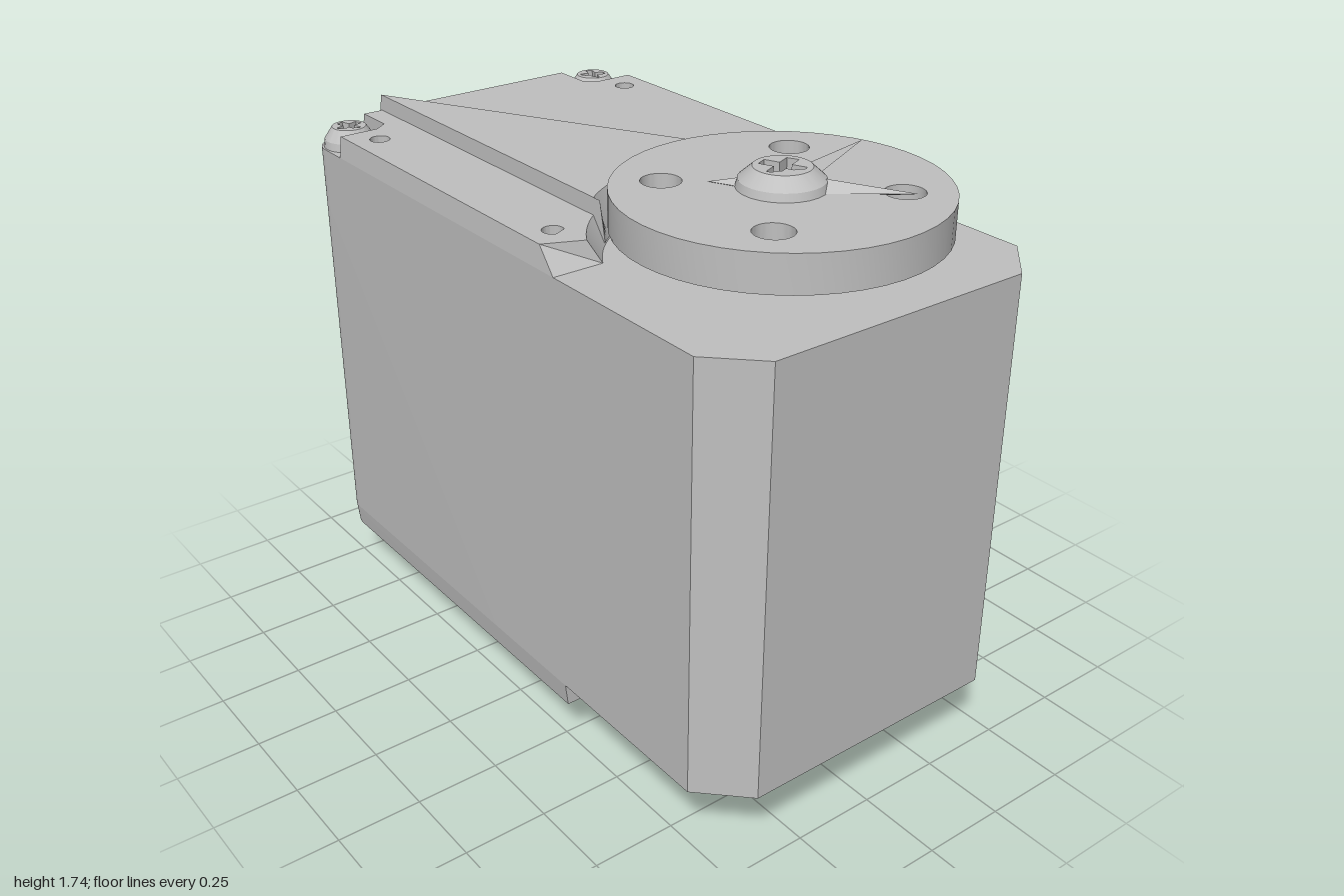
import * as THREE from 'three';
import { toCreasedNormals } from 'three/addons/utils/BufferGeometryUtils.js';

const grey = new THREE.MeshStandardMaterial({ color: 0xc0c0c0 });
grey.name = 'grey plastic';

const HORN_X = 0.547;

function add(parent, name, geometry) {
  const mesh = new THREE.Mesh(geometry, grey);
  mesh.name = name;
  parent.add(mesh);
  return mesh;
}

// Extrude a plan outline (x, z) between two heights; rule may move vertices
function slab(shape, y0, y1, rule) {
  const g = new THREE.ExtrudeGeometry(shape, { depth: y1 - y0, bevelEnabled: false, curveSegments: 24 });
  g.rotateX(Math.PI / 2).translate(0, y1, 0);
  if (rule) {
    const p = g.attributes.position;
    const v = new THREE.Vector3();
    for (let i = 0; i < p.count; i++) {
      v.fromBufferAttribute(p, i);
      rule(v);
      p.setXYZ(i, v.x, v.y, v.z);
    }
  }
  return toCreasedNormals(g, 0.5);
}

function polygon(points) {
  return new THREE.Shape(points.map(([x, z]) => new THREE.Vector2(x, z)));
}

function disc(x, z, r) {
  const s = new THREE.Shape();
  s.absarc(x, z, r, 0, Math.PI * 2, false);
  return s;
}

function hole(shape, x, z, r) {
  const h = new THREE.Path();
  h.absarc(x, z, r, 0, Math.PI * 2, true);
  shape.holes.push(h);
}

// Screw head with a cross-shaped recess
function screw(parent, name, x, y, z, r, h, turn) {
  const group = new THREE.Group();
  group.name = name;
  group.position.set(x, y, z);
  group.rotation.y = turn;
  add(group, 'screwBase', new THREE.CylinderGeometry(r * 0.95, r, h * 0.4, 24).translate(0, h * 0.2, 0));
  const a = r * 0.14, b = r * 0.5;
  const cap = disc(0, 0, r * 0.95);
  cap.holes.push(new THREE.Path([
    [a, a], [a, b], [-a, b], [-a, a], [-b, a], [-b, -a],
    [-a, -a], [-a, -b], [a, -b], [a, -a], [b, -a], [b, a],
  ].map(([u, v]) => new THREE.Vector2(u, v))));
  add(group, 'screwHead', slab(cap, h * 0.4, h, (v) => {
    if (v.y > h * 0.9 && Math.hypot(v.x, v.z) > r * 0.9) { v.x *= 0.68; v.z *= 0.68; }
  }));
  parent.add(group);
}

export function createModel() {
  const model = new THREE.Group();
  model.name = 'servoMotor';

  // Main case: rounded rear corners, chamfered output end
  const R = 0.08;
  const body = new THREE.Shape();
  body.moveTo(0.87, -0.54);
  body.lineTo(1, -0.41);
  body.lineTo(1, 0.41);
  body.lineTo(0.87, 0.54);
  body.lineTo(-1 + R, 0.54);
  body.absarc(-1 + R, 0.54 - R, R, Math.PI / 2, Math.PI, false);
  body.lineTo(-1, -0.54 + R);
  body.absarc(-1 + R, -0.54 + R, R, Math.PI, Math.PI * 1.5, false);
  add(model, 'case', slab(body, 0.225, 1.49));

  // Top cover, cut by a sloped arc around the output horn
  const slope = (v) => {
    if (v.y < 1.52) return;
    const d = Math.hypot(v.x - 0.54, v.z);
    if (v.x > 0.3 && Math.abs(v.z) > 0.5) v.x -= 0.07;
    else if (d < 0.46) {
      v.x = 0.54 + (v.x - 0.54) * 0.49 / d;
      v.z *= 0.49 / d;
    } else if (v.x < -0.98) v.x += 0.02;
    if (Math.abs(v.z) > 0.53) v.z *= 0.985;
  };
  const a = Math.acos(0.23 / 0.45);
  const cover = new THREE.Shape();
  cover.moveTo(-0.995, -0.37);
  cover.lineTo(-0.85, -0.37);
  cover.lineTo(-0.82, -0.41);
  cover.lineTo(-0.82, -0.54);
  cover.lineTo(0.31, -0.54);
  cover.absarc(0.54, 0, 0.45, Math.PI + a, Math.PI - a, true);
  cover.lineTo(0.31, 0.54);
  cover.lineTo(-0.82, 0.54);
  cover.lineTo(-0.82, 0.41);
  cover.lineTo(-0.85, 0.37);
  cover.lineTo(-0.995, 0.37);
  for (const s of [-1, 1]) {
    hole(cover, -0.73, s * 0.45, 0.03);
    hole(cover, 0.18, s * 0.45, 0.03);
  }
  add(model, 'topCover', slab(cover, 1.49, 1.555, slope));

  // Raised centre panel of the top cover
  const b = Math.asin(0.31 / 0.45);
  const panel = new THREE.Shape();
  panel.moveTo(-0.998, -0.31);
  panel.absarc(0.54, 0, 0.45, Math.PI + b, Math.PI - b, true);
  panel.lineTo(-0.998, 0.31);
  add(model, 'topPanel', slab(panel, 1.495, 1.603, (v) => {
    slope(v);
    if (v.y > 1.52) v.z = THREE.MathUtils.clamp(v.z, -0.305, 0.305);
  }));

  // Corner screws
  for (const s of [-1, 1]) screw(model, 'cornerScrew', -0.915, 1.49, s * 0.455, 0.08, 0.06, s * 0.3);

  // Bottom cover with two feet either side of a recess
  const base = new THREE.Shape();
  base.moveTo(-0.13, -0.29);
  base.lineTo(0.12, -0.29);
  base.lineTo(0.2, -0.34);
  base.lineTo(0.31, -0.41);
  base.lineTo(0.31, -0.54);
  base.lineTo(-0.92, -0.54);
  base.absarc(-0.92, -0.46, 0.08, -Math.PI / 2, -Math.PI, true);
  base.absarc(-0.92, 0.46, 0.08, Math.PI, Math.PI / 2, true);
  base.lineTo(0.31, 0.54);
  base.lineTo(0.31, 0.41);
  base.lineTo(0.2, 0.34);
  base.lineTo(0.12, 0.29);
  base.lineTo(-0.13, 0.29);
  for (const s of [-1, 1]) {
    hole(base, -0.91, s * 0.45, 0.03);
    hole(base, 0.2, s * 0.45, 0.03);
  }
  add(model, 'bottomCover', slab(base, 0.155, 0.225, (v) => {
    if (v.y > 0.2) return;
    if (v.x < -0.95) v.x += 0.015;
    if (Math.abs(v.z) > 0.5) v.z *= 0.985;
  }));

  // Sloped pad under the bottom cover
  const pad = polygon([[-0.77, 0.08], [-0.33, 0.08], [-0.18, 0.16], [-0.77, 0.16]]);
  add(model, 'bottomPad', new THREE.ExtrudeGeometry(pad, { depth: 0.8, bevelEnabled: false }).translate(0, 0, -0.4));

  // Connector pins
  for (const s of [-1, 1]) {
    for (const z of [0.125, 0.23, 0.335]) {
      add(model, 'pin', toCreasedNormals(new THREE.CylinderGeometry(0.043, 0.043, 0.23, 10), 0.5))
        .position.set(-0.07, 0.115, s * z);
    }
  }

  // Hollow pivot boss
  const boss = disc(0.55, 0, 0.13);
  hole(boss, 0.55, 0, 0.05);
  add(model, 'pivotBoss', slab(boss, 0.05, 0.225));

  // Output hub and horn disc
  add(model, 'outputCollar', new THREE.CylinderGeometry(0.17, 0.17, 0.03, 32)).position.set(HORN_X, 1.5, 0);
  add(model, 'outputHub', new THREE.CylinderGeometry(0.2, 0.19, 0.07, 32)).position.set(HORN_X, 1.545, 0);
  const horn = disc(HORN_X, 0, 0.44);
  for (const sx of [-1, 1]) for (const sz of [-1, 1]) hole(horn, HORN_X + sx * 0.217, sz * 0.217, 0.054);
  add(model, 'hornDisc', slab(horn, 1.575, 1.68));

  // Horn screw with three thin ribs running out from it
  screw(model, 'hornScrew', HORN_X, 1.68, 0, 0.12, 0.055, 0.4);
  for (const [x, z, w] of [[0.41, -0.41, 0.05], [0.8, -0.23, 0.06], [0.41, 0.13, 0.06]]) {
    const dx = x - HORN_X, length = Math.hypot(dx, z);
    const rib = new THREE.ConeGeometry(w, length, 4, 1).toNonIndexed();
    rib.translate(0, length / 2, 0).rotateZ(-Math.PI / 2).scale(1, 0.6, 1);
    rib.computeVertexNormals();
    const mesh = add(model, 'hornRib', rib);
    mesh.position.set(HORN_X, 1.682, 0);
    mesh.rotation.y = Math.atan2(-z, dx);
  }

  return model;
}
